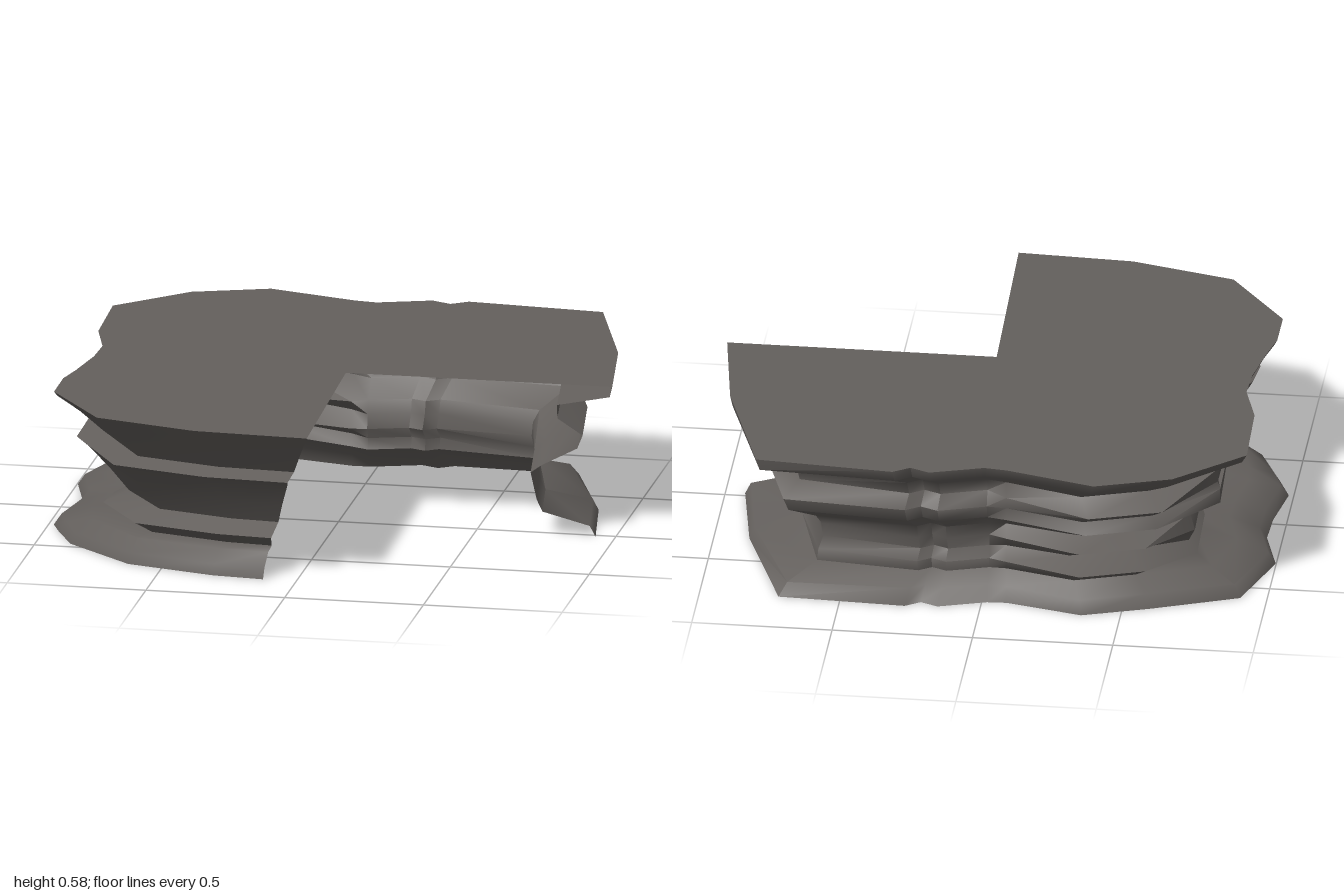
import * as THREE from 'three';
import { toCreasedNormals } from 'three/addons/utils/BufferGeometryUtils.js';

// Rim of the plateau (x, z), from the front cut round the left and back to the right cut
const RIM = [
  [0.06, 0.9], [-0.35, 0.88], [-0.72, 0.78], [-0.93, 0.49], [-0.93, 0.32], [-0.905, 0.21],
  [-0.875, 0.03], [-0.87, -0.1], [-0.92, -0.28], [-0.93, -0.6], [-0.69, -0.82], [-0.42, -0.91],
  [-0.1, -0.82], [-0.02, -0.81], [0.17, -0.87], [0.24, -0.84], [0.3, -0.88], [0.79, -0.84],
  [0.94, -0.35], [1, 0.07],
];
const NOTCH = [0.04, 0.07];
const rimHeight = (z) => 0.57 - 0.011 * z;

// Strata profiles as [share of rim radius, height], bottom to top
const FRONT = [[0.87, 0], [0.86, 0.04], [0.83, 0.09], [0.77, 0.1], [0.84, 0.145], [0.74, 0.18],
  [0.8, 0.26], [0.88, 0.35], [0.93, 0.375], [0.83, 0.39], [0.91, 0.48], [0.99, 0.55]];
const LEFT = [[1.085, 0], [1.055, 0.04], [0.93, 0.07], [0.75, 0.09], [0.8, 0.14], [0.73, 0.18],
  [0.8, 0.27], [0.87, 0.36], [0.9, 0.43], [0.82, 0.44], [0.91, 0.5], [0.99, 0.55]];
const BACK = [[0.86, 0], [0.84, 0.05], [0.78, 0.1], [0.84, 0.14], [0.72, 0.17], [0.84, 0.23],
  [0.73, 0.26], [0.91, 0.34], [0.88, 0.38], [0.94, 0.42], [0.86, 0.47], [0.97, 0.535]];
const GULLY = [[0.89, 0], [0.84, 0.05], [0.77, 0.09], [0.78, 0.13], [0.75, 0.17], [0.77, 0.22],
  [0.78, 0.27], [0.87, 0.33], [0.89, 0.38], [0.85, 0.43], [0.87, 0.48], [0.98, 0.535]];
const RIGHT = [[0.93, 0], [0.91, 0.04], [0.74, 0.085], [0.72, 0.13], [0.71, 0.18], [0.7, 0.23],
  [0.74, 0.26], [0.87, 0.33], [0.89, 0.38], [0.8, 0.44], [0.8, 0.49], [0.99, 0.53]];

// Rim columns at which each profile applies; blended in between
const STATIONS = [[0, FRONT], [2, FRONT], [5, LEFT], [8, LEFT], [10, BACK], [11, BACK],
  [13, GULLY], [16, GULLY], [18, RIGHT], [19, RIGHT]];

function profileAt(column) {
  const k = Math.max(1, STATIONS.findIndex(([c]) => c >= column));
  const [c0, p0] = STATIONS[k - 1];
  const [c1, p1] = STATIONS[k];
  const t = (column - c0) / (c1 - c0);
  return p0.map(([s, y], j) => [
    THREE.MathUtils.lerp(s, p1[j][0], t), THREE.MathUtils.lerp(y, p1[j][1], t)]);
}

function cliffGeometry() {
  const last = RIM.length - 1;
  const positions = [];
  const index = [];
  let rows = 0;
  RIM.forEach(([rx, rz], i) => {
    const profile = [...profileAt(i), [1, rimHeight(rz)]];
    rows = profile.length;
    for (const [s, y] of profile) {
      let x = rx * s;
      let z = rz * s;
      // the two cut ends lean back towards the foot
      if (i === 0) x = 0.06 - 0.18 * (1 - Math.min(1, y / 0.56) ** 1.5);
      if (i === last) z = 0.02 + 0.05 * Math.min(1, y / 0.56);
      positions.push(x, y, z);
    }
  });
  for (let i = 0; i < last; i++) {
    for (let j = 0; j < rows - 1; j++) {
      const a = i * rows + j;
      const b = a + rows;
      index.push(b, a, a + 1, b, a + 1, b + 1);
    }
  }
  const geometry = new THREE.BufferGeometry();
  geometry.setAttribute('position', new THREE.Float32BufferAttribute(positions, 3));
  geometry.setIndex(index);
  return toCreasedNormals(geometry, 0.9);
}

function plateauGeometry() {
  const shape = new THREE.Shape([...RIM, NOTCH].map(([x, z]) => new THREE.Vector2(x, -z)));
  const geometry = new THREE.ShapeGeometry(shape).rotateX(-Math.PI / 2);
  const p = geometry.attributes.position;
  for (let i = 0; i < p.count; i++) p.setY(i, rimHeight(p.getZ(i)));
  geometry.computeVertexNormals();
  return geometry;
}

export function createModel() {
  const rock = new THREE.MeshStandardMaterial({ color: 0x64605d, side: THREE.DoubleSide });
  rock.name = 'grey rock';

  const group = new THREE.Group();
  group.name = 'rockLedge';
  const add = (name, geometry) => {
    const mesh = new THREE.Mesh(geometry, rock);
    mesh.name = name;
    group.add(mesh);
  };
  add('cliffWall', cliffGeometry());
  add('plateauTop', plateauGeometry());
  return group;
}
